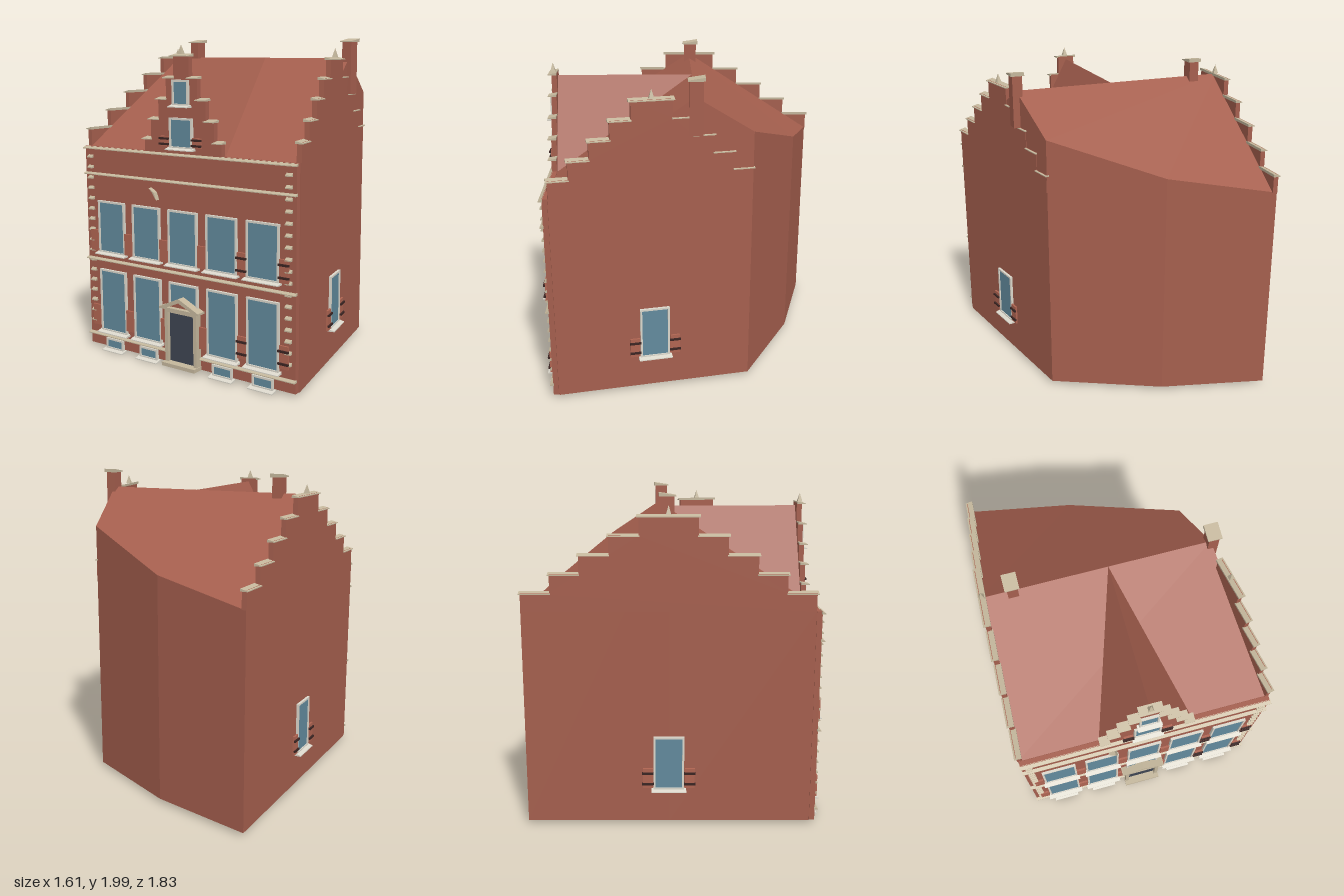
import * as THREE from 'three';

const mat = (color) => new THREE.MeshStandardMaterial({ color, flatShading: true });
const brick = mat(0xa55f4e), stone = mat(0xc4b79c), frameMat = mat(0xdcd8cc), glass = mat(0x628a9d);
const doorMat = mat(0x3e4552), shutterMat = mat(0xb06552), iron = mat(0x3a2422);
brick.side = THREE.DoubleSide;

function add(parent, name, geo, material, x = 0, y = 0, z = 0) {
  const m = new THREE.Mesh(geo, material);
  m.name = name;
  m.position.set(x, y, z);
  parent.add(m);
  return m;
}
const box = (p, name, material, w, h, d, x, y, z) => add(p, name, new THREE.BoxGeometry(w, h, d), material, x, y, z);

// Box whose outer top edge is lowered, for sills and copings
function wedge(p, name, w, h, d, x, y, z, material = stone) {
  const g = new THREE.BoxGeometry(w, h, d), a = g.attributes.position;
  for (let i = 0; i < a.count; i++) if (a.getY(i) > 0 && a.getZ(i) > 0) a.setY(i, -h * 0.2);
  g.computeVertexNormals();
  return add(p, name, g, material, x, y, z);
}

function extrude(points, depth, hole) {
  const s = new THREE.Shape(points.map(([x, y]) => new THREE.Vector2(x, y)));
  if (hole) s.holes.push(new THREE.Path(hole.map(([x, y]) => new THREE.Vector2(x, y))));
  return new THREE.ExtrudeGeometry(s, { depth, bevelEnabled: false });
}
const rect = (w, h) => [[-w / 2, -h / 2], [w / 2, -h / 2], [w / 2, h / 2], [-w / 2, h / 2]];

// Symmetric stepped gable outline, steps given from bottom to top
function steppedOutline(steps, base) {
  const right = [];
  let y = base;
  for (const [half, top] of steps) {
    right.push([half, y], [half, top]);
    y = top;
  }
  return [...right, ...right.slice().reverse().map(([x, v]) => [-x, v])];
}

// Coping stones on each tread and a finial on top
function copings(p, steps, depth, z) {
  steps.forEach(([half, top], i) => {
    const next = steps[i + 1];
    if (!next) {
      wedge(p, 'topCoping', half * 2 + 0.025, 0.016, depth, 0, top, z);
      return;
    }
    const w = half - next[0] + 0.015;
    for (const s of [-1, 1]) wedge(p, 'stepCoping', w, 0.016, depth, s * (half + 0.01 - w / 2), top, z);
  });
  const top = steps[steps.length - 1][1];
  const f = add(p, 'finial', new THREE.ConeGeometry(0.022, 0.055, 4), stone, 0, top + 0.033, z);
  f.rotation.y = Math.PI / 4;
}

function shutter(p, x, y, z, h, bars) {
  box(p, 'shutter', shutterMat, 0.06, h, 0.012, x, y, z + 0.012);
  if (bars) for (const s of [-1, 1]) box(p, 'shutterBar', iron, 0.07, 0.012, 0.012, x, y + s * h * 0.27, z + 0.022);
}

function windowUnit(p, x, y0, y1, w, z, sill = true) {
  const g = new THREE.Group(), h = y1 - y0;
  g.name = 'window';
  g.position.set(x, (y0 + y1) / 2, z);
  p.add(g);
  add(g, 'windowFrame', extrude(rect(w, h), 0.016, rect(w - 0.024, h - 0.024)), frameMat);
  box(g, 'windowPane', glass, w - 0.022, h - 0.022, 0.01, 0, 0, 0.004);
  if (sill) wedge(g, 'windowSill', w + 0.025, 0.018, 0.045, 0, -h / 2, 0.02, frameMat);
}

// Walls and roof from one plan loop: x, z, height of the wall top
function buildBody() {
  const plan = [[-0.79, 0.8, 1.33], [0.79, 0.8, 1.33], [0.62, -0.05, 1.88], [0.55, -0.4, 1.655],
    [-0.08, -0.73, 1.44], [-0.72, -0.91, 1.33], [-0.755, -0.05, 1.88]];
  const pos = [], lo = (i) => [plan[i][0], 0.03, plan[i][1]], hi = (i) => [plan[i][0], plan[i][2], plan[i][1]];
  const tri = (...v) => v.forEach((c) => pos.push(...c));
  plan.forEach((_, i) => {
    const j = (i + 1) % plan.length;
    tri(lo(i), lo(j), hi(j));
    tri(lo(i), hi(j), hi(i));
    if (i > 0 && j > 0) tri(lo(0), lo(j), lo(i));
  });
  const fan = (ids) => { for (let k = 1; k < ids.length - 1; k++) tri(hi(ids[0]), hi(ids[k]), hi(ids[k + 1])); };
  fan([0, 1, 2, 6]);
  fan([6, 2, 3, 4, 5]);
  // Dormer roof running back to the ridge
  const peak = [0, 1.88, 0.8], back = [0, 1.88, -0.05];
  tri([0.29, 1.33, 0.8], back, peak);
  tri([-0.29, 1.33, 0.8], peak, back);
  const g = new THREE.BufferGeometry();
  g.setAttribute('position', new THREE.Float32BufferAttribute(pos, 3));
  g.computeVertexNormals();
  return g;
}

// Side wall group: local x along the wall, local z outward
function sideWall(root, name, a, b, halves, windowX) {
  const g = new THREE.Group();
  g.name = name;
  g.position.set((a[0] + b[0]) / 2, 0, (a[1] + b[1]) / 2);
  const sx = Math.sign(a[0]), dx = b[0] - a[0], dz = b[1] - a[1];
  g.rotation.y = Math.atan2(-dz * sx, dx * sx);
  root.add(g);
  const steps = halves.map((h, i) => [h, 1.44 + i * 0.11]);
  add(g, 'steppedGable', extrude(steppedOutline(steps, 1.33), 0.03), brick, 0, 0, -0.027);
  copings(g, steps, 0.045, -0.01);
  windowUnit(g, windowX, 0.235, 0.57, 0.185, 0);
  for (const s of [-1, 1]) shutter(g, windowX + s * 0.126, 0.31, 0, 0.125, true);
}

export function createModel() {
  const root = new THREE.Group();
  root.name = 'townHouse';
  add(root, 'wallsAndRoof', buildBody(), brick);

  // Front wall with its stepped dormer gable
  const front = new THREE.Group(), Z = 0.835;
  front.name = 'frontFacade';
  root.add(front);
  const steps = [[0.285, 1.41], [0.235, 1.53], [0.175, 1.65], [0.115, 1.775], [0.057, 1.9]];
  const outline = [[-0.785, 0.03], [0.785, 0.03], [0.785, 1.33], ...steppedOutline(steps, 1.33), [-0.785, 1.33]];
  add(front, 'frontWall', extrude(outline, 0.033), brick, 0, 0, 0.802);
  copings(front, steps, 0.055, 0.83);
  for (const y of [1.323, 1.16, 0.608, 0.105]) wedge(front, 'stringCourse', 1.58, 0.016, 0.025, 0, y, 0.843);

  // Corner stones beside the windows
  for (const s of [-1, 1])
    for (let y = 0.2; y < 1.3; y += 0.0668) wedge(front, 'cornerStone', 0.04, 0.022, 0.022, s * 0.74, y, 0.842);

  // Two window rows and the cellar lights
  for (let i = -2; i <= 2; i++) {
    const x = i * 0.285;
    windowUnit(front, x, 0.655, 0.99, 0.22, Z);
    windowUnit(front, x, i ? 0.135 : 0.38, 0.545, 0.22, Z, i !== 0);
    if (i) windowUnit(front, x, 0.018, 0.09, 0.145, Z);
  }
  for (const x of [-0.715, -0.43, -0.145, 0.145, 0.43, 0.715]) {
    shutter(front, x, 0.73, Z, 0.135, x > 0.3);
    shutter(front, x, 0.235, Z, 0.135, x > 0.3);
  }
  // Dormer windows
  windowUnit(front, 0, 1.36, 1.54, 0.17, Z);
  windowUnit(front, 0, 1.61, 1.76, 0.12, Z);
  for (const s of [-1, 1]) shutter(front, s * 0.12, 1.4, Z, 0.06, true);
  // Bracket on the upper wall
  add(front, 'wallBracket', extrude([[-0.24, 1.11], [-0.2, 1.085], [-0.183, 1.04], [-0.215, 1.085]], 0.03), stone, 0, 0, Z);

  // Doorway
  const door = new THREE.Group();
  door.name = 'doorway';
  front.add(door);
  box(door, 'door', doorMat, 0.2, 0.33, 0.02, 0, 0.21, 0.848);
  for (const s of [-1, 1]) box(door, 'doorPost', stone, 0.024, 0.335, 0.045, s * 0.109, 0.213, 0.857);
  box(door, 'lintel', stone, 0.24, 0.02, 0.045, 0, 0.375, 0.857);
  box(door, 'doorStep', stone, 0.25, 0.022, 0.075, 0, 0.042, 0.872);
  box(door, 'cornice', stone, 0.3, 0.012, 0.06, 0, 0.392, 0.865);
  add(door, 'pediment', extrude([[-0.11, 0.398], [0.11, 0.398], [0, 0.447]], 0.03), brick, 0, 0, Z);
  add(door, 'pedimentMoulding', extrude([[-0.15, 0.395], [-0.1, 0.395], [0, 0.438], [0.1, 0.395], [0.15, 0.395], [0, 0.465]], 0.06), stone, 0, 0, Z);

  // Side walls with stepped gables
  sideWall(root, 'leftSide', [0.79, 0.8], [0.55, -0.4], [0.61, 0.49, 0.367, 0.245, 0.122], 0);
  sideWall(root, 'rightSide', [-0.79, 0.8], [-0.72, -0.91], [0.855, 0.685, 0.515, 0.342, 0.17], 0);

  // Chimneys
  for (const [x, y0] of [[-0.567, 1.82], [0.622, 1.66]]) {
    box(root, 'chimney', brick, 0.062, 1.98 - y0, 0.08, x, (1.98 + y0) / 2, -0.055);
    wedge(root, 'chimneyCap', 0.085, 0.022, 0.1, x, 1.989, -0.055);
  }
  return root;
}
